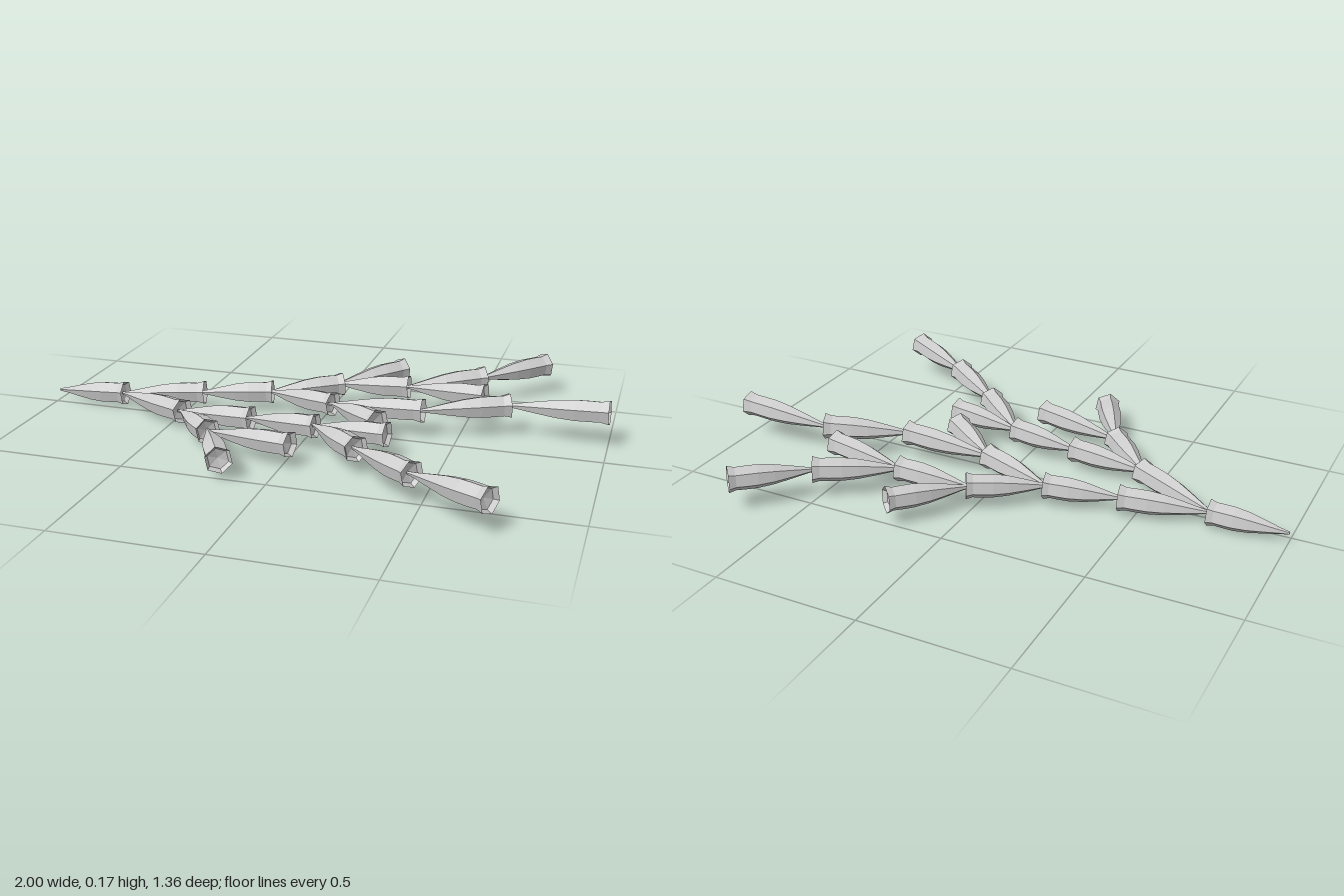
import * as THREE from 'three';

// Segment outline: [radius, fraction of length]; the last points form a hollow cup
const PROFILE = [
  [0.005, 0], [0.011, 0.12], [0.023, 0.3], [0.035, 0.5], [0.041, 0.68],
  [0.041, 0.82], [0.04, 0.92], [0.047, 1], [0.036, 0.95], [0, 0.92],
];

// Chains of joints [x, z]; consecutive joints are linked by one segment
const CHAINS = {
  mainStem: [[-1, -0.03], [-0.735, -0.038]],
  backBranch: [[-0.745, -0.036], [-0.445, -0.1], [-0.2, -0.152], [0.025, -0.285], [0.275, -0.295], [0.52, -0.45], [0.72, -0.645]],
  backShortTwig: [[0.01, -0.28], [0.205, -0.495]],
  backSideTwig: [[0.265, -0.295], [0.56, -0.25]],
  middleBranch: [[-0.21, -0.152], [0.055, -0.065], [0.38, -0.058], [0.66, -0.165], [0.998, -0.155]],
  middleTwig: [[0.045, -0.07], [0.255, 0.085]],
  frontBranch: [[-0.745, -0.036], [-0.445, 0.108], [-0.18, 0.13], [0.06, 0.16], [0.25, 0.335], [0.47, 0.5], [0.73, 0.64]],
  frontInnerTwig: [[0.05, 0.158], [0.315, 0.19]],
  frontOuterTwig: [[-0.455, 0.105], [-0.28, 0.28], [-0.15, 0.515]],
  frontSideTwig: [[-0.285, 0.275], [0.03, 0.34]],
};

const material = new THREE.MeshStandardMaterial({
  color: 0xcccccc, flatShading: true, side: THREE.DoubleSide,
});

// The whole spray rises gently along x
const joint = ([x, z]) => new THREE.Vector3(x, 0.035 + (x + 1) * 0.0425, z);

// One six-sided bud-like segment from a to b
function makeSegment(a, b) {
  const dir = b.clone().sub(a);
  const length = dir.length();
  dir.normalize();
  const points = PROFILE.map(([r, t]) => new THREE.Vector2(r, t * length));
  const mesh = new THREE.Mesh(new THREE.LatheGeometry(points, 6, 0.2), material);

  // Keep the same side of every segment facing up
  const side = new THREE.Vector3().crossVectors(dir, new THREE.Vector3(0, 1, 0)).normalize();
  const up = new THREE.Vector3().crossVectors(side, dir);
  mesh.quaternion.setFromRotationMatrix(new THREE.Matrix4().makeBasis(side, dir, up));
  mesh.position.copy(a);
  return mesh;
}

export function createModel() {
  const model = new THREE.Group();
  model.name = 'branchingSpray';
  for (const [name, chain] of Object.entries(CHAINS)) {
    const branch = new THREE.Group();
    branch.name = name;
    for (let i = 1; i < chain.length; i++) {
      const a = joint(chain[i - 1]);
      const b = joint(chain[i]);
      // Tuck each later segment slightly into the cup before it
      if (i > 1) a.addScaledVector(b.clone().sub(a).normalize(), -0.02);
      const segment = makeSegment(a, b);
      segment.name = 'segment' + i;
      branch.add(segment);
    }
    model.add(branch);
  }
  return model;
}
